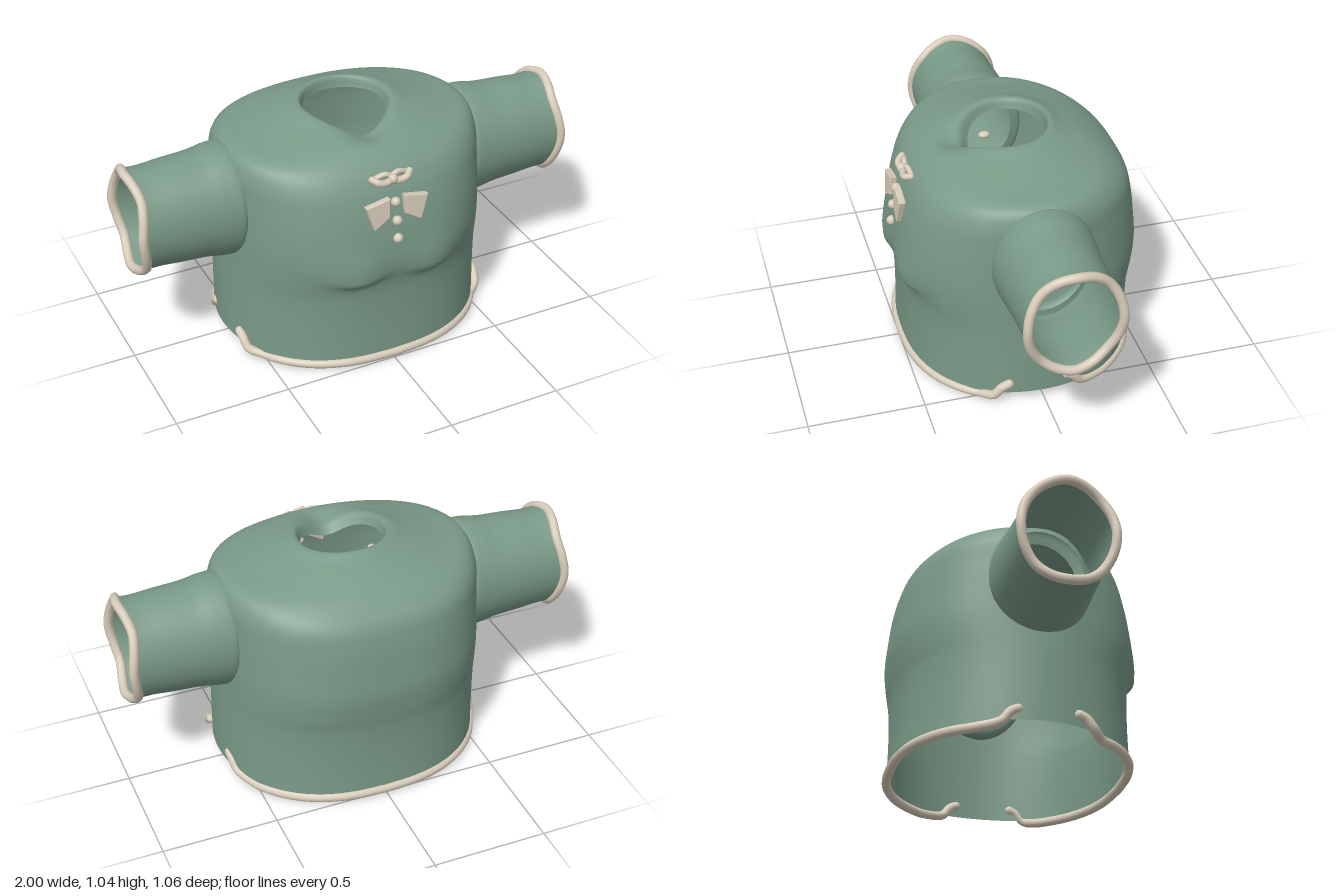
import * as THREE from 'three';

const V = (x, y, z) => new THREE.Vector3(x, y, z);
const cloth = new THREE.MeshStandardMaterial({ color: 0x7a9a88, side: THREE.DoubleSide });
const cream = new THREE.MeshStandardMaterial({ color: 0xd8ccba });

// Smooth surface from closed rings; point(u, angle) gives { p, cut }, cut corners leave a hole
function loft(rows, cols, point) {
  const pos = [], cut = [], index = [];
  for (let i = 0; i <= rows; i++) {
    for (let j = 0; j < cols; j++) {
      const q = point(i / rows, (j / cols) * Math.PI * 2);
      pos.push(q.p.x, q.p.y, q.p.z);
      cut.push(q.cut);
    }
  }
  const tri = (...t) => { if (!t.every((k) => cut[k])) index.push(...t); };
  for (let i = 0; i < rows; i++) {
    for (let j = 0; j < cols; j++) {
      const k = (j + 1) % cols;
      const a = i * cols + j, b = i * cols + k, c = a + cols, d = b + cols;
      tri(a, c, b);
      tri(b, c, d);
    }
  }
  const g = new THREE.BufferGeometry();
  g.setAttribute('position', new THREE.Float32BufferAttribute(pos, 3));
  g.setIndex(index);
  g.computeVertexNormals();
  return g;
}

function add(parent, name, geometry, material = cream) {
  const m = new THREE.Mesh(geometry, material);
  m.name = name;
  parent.add(m);
  return m;
}

// Cord with rounded ends
function cord(parent, name, points, r, closed = false) {
  const curve = new THREE.CatmullRomCurve3(points, closed);
  const m = add(parent, name, new THREE.TubeGeometry(curve, points.length * 5, r, 10, closed));
  if (!closed) {
    for (const p of [points[0], points[points.length - 1]]) {
      add(m, name + 'End', new THREE.SphereGeometry(r, 10, 8)).position.copy(p);
    }
  }
}

// Profiles from hem to neck lip: side (x, y), centre front (z, y), centre back (z, y)
const profile = [
  [0.588, 0.05, 0.49, 0.015, -0.505, 0.015],
  [0.587, 0.2, 0.485, 0.2, -0.5, 0.2],
  [0.585, 0.36, 0.488, 0.36, -0.505, 0.36],
  [0.583, 0.45, 0.5, 0.44, -0.517, 0.45],
  [0.582, 0.55, 0.509, 0.53, -0.525, 0.55],
  [0.58, 0.66, 0.502, 0.64, -0.515, 0.66],
  [0.578, 0.77, 0.483, 0.74, -0.498, 0.78],
  [0.574, 0.875, 0.45, 0.84, -0.473, 0.86],
  [0.545, 0.94, 0.405, 0.91, -0.41, 0.925],
  [0.42, 0.97, 0.335, 0.965, -0.32, 0.98],
  [0.29, 1.005, 0.265, 0.99, -0.23, 1.018],
  [0.195, 1.03, 0.205, 0.996, -0.175, 1.04],
  [0.175, 0.99, 0.165, 0.96, -0.16, 0.99],
];
const rail = (k) => new THREE.CatmullRomCurve3(profile.map((r) => V(r[k], r[k + 1], 0)));
const sideRail = rail(0), frontRail = rail(2), backRail = rail(4);
const fullness = (c, power) => Math.sign(c) * Math.abs(c) ** power;

function bodyPoint(u, t) {
  const s = Math.sin(t), c = Math.cos(t);
  const side = sideRail.getPoint(u);
  const mid = (s > 0 ? frontRail : backRail).getPoint(u);
  // Full oval at the chest, plain oval at the neck
  const power = 0.82 - 0.07 * THREE.MathUtils.smoothstep(u, 0.1, 0.3)
    + 0.25 * THREE.MathUtils.smoothstep(u, 0.6, 0.9);
  const x = side.x * fullness(c, power);
  let y = side.y + (mid.y - side.y) * s * s;
  let z = mid.x * Math.abs(s);
  if (s > 0) {
    // Chest swell with a tight curved fold below
    const off = Math.abs(x) - 0.17, dy = y - 0.44 - 1.5 * off * off;
    z += 0.026 * Math.exp(-((off / 0.12) ** 2) - (dy / (dy < 0 ? 0.025 : 0.13)) ** 2);
    // Notch at the front of the neckline
    y -= 0.042 * Math.exp(-((x / 0.085) ** 2)) * THREE.MathUtils.smoothstep(u, 0.74, 0.9);
  }
  // Armhole: corners inside the oval are pushed to its edge
  const ry = 0.22, rz = 0.198;
  const e = Math.hypot((y - 0.69) / ry, z / rz);
  const cut = Math.abs(x) > 0.4 && e < 1;
  if (cut) {
    const f = 1 / Math.max(e, 0.01);
    y = 0.69 + (y - 0.69) * f;
    z *= f;
  }
  return { p: V(x, y, z), cut };
}

// Sleeve profile: x, half height, half depth
const sleeveRows = [
  [0.52, 0.185, 0.165], [0.54, 0.247, 0.215], [0.6, 0.25, 0.215], [0.68, 0.235, 0.21],
  [0.8, 0.228, 0.203], [0.9, 0.22, 0.198], [0.97, 0.224, 0.195],
];
const sleeveRail = new THREE.CatmullRomCurve3(sleeveRows.map((r) => V(...r)));
const cuffWave = (t) => 0.011 * Math.cos(4 * t);

function sleevePoint(u, t) {
  const r = sleeveRail.getPoint(u);
  return {
    p: V(r.x + cuffWave(t) * u ** 6, 0.692 + r.y * Math.sin(t), r.z * Math.cos(t)),
    cut: false,
  };
}

export function createModel() {
  const shirt = new THREE.Group();
  shirt.name = 'shirt';

  add(shirt, 'body', loft(80, 112, bodyPoint), cloth);

  // Sleeves with wavy cuff trim
  for (const [name, turn] of [['left', 0], ['right', Math.PI]]) {
    const arm = new THREE.Group();
    arm.name = name + 'Arm';
    arm.rotation.y = turn;
    add(arm, name + 'Sleeve', loft(30, 40, sleevePoint), cloth);
    const ring = [];
    for (let i = 0; i < 16; i++) {
      const t = (i / 16) * Math.PI * 2;
      ring.push(V(0.969 + cuffWave(t), 0.693 + 0.222 * Math.sin(t), 0.193 * Math.cos(t)));
    }
    cord(arm, name + 'CuffTrim', ring, 0.02, true);
    shirt.add(arm);
  }

  // Hem trim, front and back, with ends curling up at the side vents
  for (const [name, sign, depth, end] of [['front', 1, 0.488, 0.15], ['back', -1, 0.503, 0.1]]) {
    const half = [
      V(0.57, 0.098, sign * end), V(0.568, 0.084, sign * (end + 0.03)), V(0.558, 0.045, sign * (end + 0.065)),
    ];
    for (let d = 32; d < 90; d += 8) {
      const t = THREE.MathUtils.degToRad(d);
      half.push(V(0.582 * fullness(Math.cos(t), 0.82), 0.026, sign * depth * Math.sin(t)));
    }
    const other = half.map((p) => V(-p.x, p.y, p.z)).reverse();
    cord(shirt, name + 'HemTrim', [...half, V(0, 0.025, sign * depth), ...other], 0.02);
  }

  // Buttons
  for (const [y, z] of [[0.785, 0.482], [0.705, 0.5], [0.625, 0.51]]) {
    add(shirt, 'button', new THREE.SphereGeometry(0.021, 16, 12)).position.set(0, y, z);
  }

  for (const s of [1, -1]) {
    // Chest flaps
    const shape = new THREE.Shape(
      [[0.035, 0.06], [0.04, -0.02], [0.105, -0.06], [0.137, 0.042]].map(([x, y]) => new THREE.Vector2(s * x, y)));
    const flap = add(shirt, 'chestFlap', new THREE.ExtrudeGeometry(shape, {
      depth: 0.024, bevelEnabled: true, bevelSize: 0.003, bevelThickness: 0.003, bevelSegments: 1,
    }));
    flap.position.set(0, 0.75, 0.478);
    flap.rotation.x = -0.1;

    // Bow loops
    cord(shirt, 'bowLoop', [
      V(0, 0.873, 0.45), V(s * 0.035, 0.868, 0.458), V(s * 0.065, 0.875, 0.455), V(s * 0.085, 0.885, 0.435),
    ], 0.015);
    cord(shirt, 'bowTail', [
      V(0, 0.885, 0.44), V(s * 0.03, 0.897, 0.437), V(s * 0.065, 0.885, 0.43),
    ], 0.012);

    // Small toggles inside the collar
    const toggle = add(shirt, 'innerToggle', new THREE.SphereGeometry(0.02, 12, 8));
    toggle.position.set(s * 0.165, 0.878, 0.055);
    toggle.scale.set(1, 0.7, 1.3);
  }
  add(shirt, 'bowKnot', new THREE.SphereGeometry(0.021, 14, 10)).position.set(0, 0.88, 0.455);

  return shirt;
}
